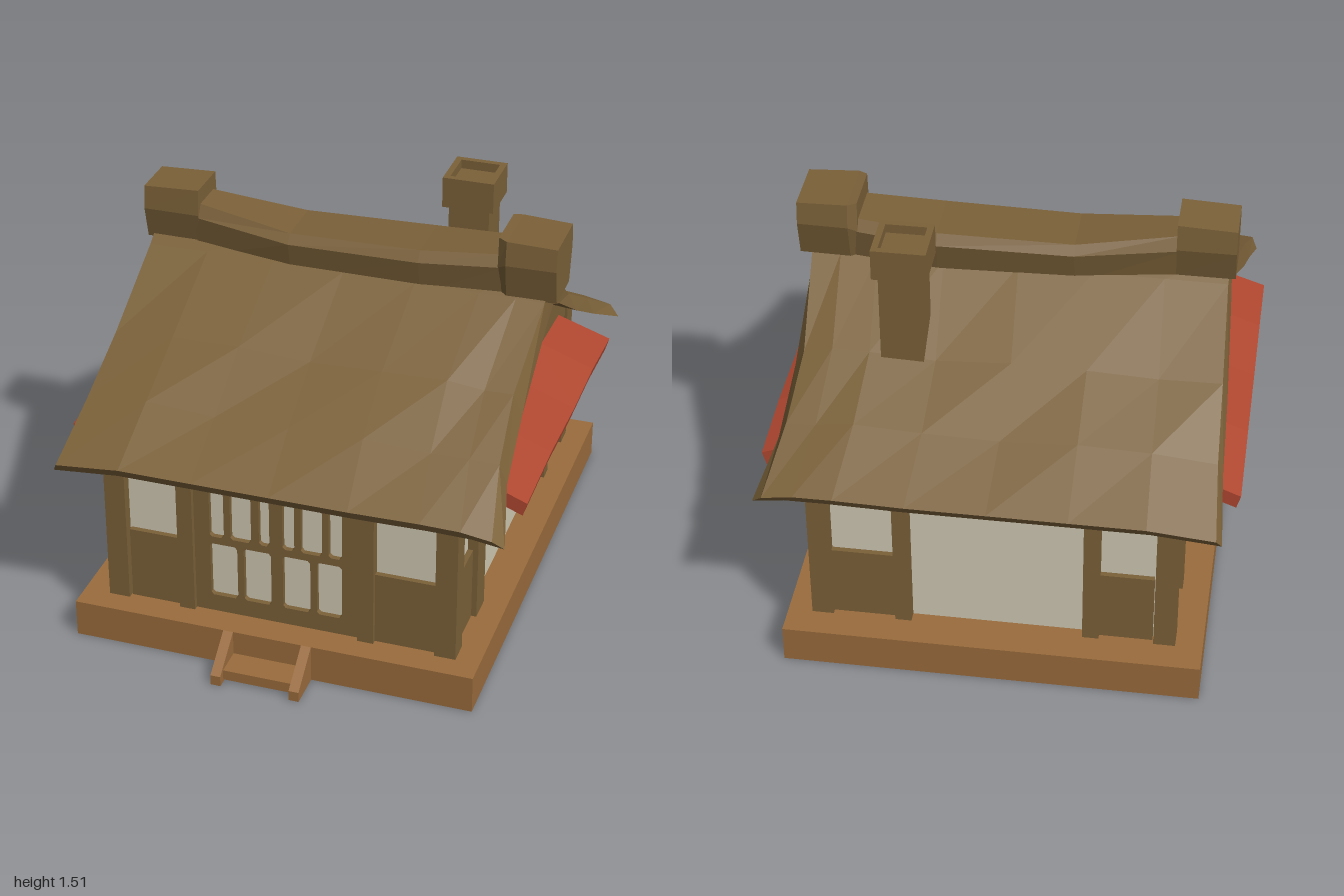
import * as THREE from 'three';

const mat = (name, color) => Object.assign(new THREE.MeshStandardMaterial({ color, flatShading: true }), { name });

export function createModel() {
  const wood = mat('brown wood', 0x7b6139);
  const deck = mat('deck wood', 0x9a6c3c);
  const plaster = mat('cream plaster', 0xd0c9b4);
  const red = mat('red awning', 0xb04730);
  const house = new THREE.Group();
  house.name = 'house';

  const add = (parent, name, geometry, material) => {
    const mesh = new THREE.Mesh(geometry, material);
    mesh.name = name;
    parent.add(mesh);
    return mesh;
  };
  // box given by its limits on each axis
  const box = (parent, name, material, x0, x1, y0, y1, z0, z1) => {
    const g = new THREE.BoxGeometry(x1 - x0, y1 - y0, z1 - z0);
    g.translate((x0 + x1) / 2, (y0 + y1) / 2, (z0 + z1) / 2);
    return add(parent, name, g, material);
  };
  // skin over even-sized rings [x, y, z] that follow each other along +x, with both ends closed
  const loft = (rings) => {
    const pos = [];
    const quad = (a, b, c, d) => [a, b, c, a, c, d].forEach((p) => pos.push(...p));
    const m = rings[0].length;
    for (let s = 0; s < rings.length - 1; s++) {
      for (let i = 0; i < m; i++) {
        const j = (i + 1) % m;
        quad(rings[s][i], rings[s + 1][i], rings[s + 1][j], rings[s][j]);
      }
    }
    const first = rings[0], last = rings[rings.length - 1];
    for (let i = 0; i < m / 2 - 1; i++) {
      quad(first[i], first[i + 1], first[m - 2 - i], first[m - 1 - i]);
      quad(last[m - 1 - i], last[m - 2 - i], last[i + 1], last[i]);
    }
    const g = new THREE.BufferGeometry();
    g.setAttribute('position', new THREE.Float32BufferAttribute(pos, 3));
    g.computeVertexNormals();
    return g;
  };
  const polygon = (pts, Type = THREE.Shape) => new Type(pts.map((p) => new THREE.Vector2(...p)));
  const rect = (x0, x1, y0, y1, c = 0.01) => [
    [x0 + c, y0], [x1 - c, y0], [x1, y0 + c], [x1, y1 - c], [x1 - c, y1], [x0 + c, y1], [x0, y1 - c], [x0, y0 + c]];
  const pierced = (outline, holes, depth) => {
    const shape = polygon(outline);
    shape.holes = holes.map((h) => polygon(h, THREE.Path));
    return new THREE.ExtrudeGeometry(shape, { depth, bevelEnabled: false });
  };

  // base and steps
  box(house, 'base', deck, -0.77, 0.76, 0, 0.145, -1, 0.86);
  const steps = new THREE.Group();
  steps.name = 'steps';
  house.add(steps);
  for (const x of [-0.185, 0.115]) {
    const g = pierced([[-0.86, 0], [-0.86, 0.145], [-1, 0.04], [-1, 0]], [], 0.038);
    g.rotateY(Math.PI / 2);
    g.translate(x, 0, 0);
    add(steps, 'stringer', g, deck);
  }
  box(steps, 'tread', deck, -0.15, 0.12, 0.01, 0.05, 0.85, 0.97);

  // plaster core and corner posts
  box(house, 'wallCore', plaster, -0.63, 0.63, 0.14, 0.78, -0.85, 0.73);
  for (const x of [-0.67, 0.59])
    for (const z of [-0.89, 0.685]) box(house, 'cornerPost', wood, x, x + 0.08, 0.145, 0.79, z, z + 0.085);

  // timber on each wall, facing local +z; e = corner, post and corner edges from left to right
  const wall = (name, turn, d, e) => {
    const g = new THREE.Group();
    g.name = name;
    g.rotation.y = turn;
    house.add(g);
    box(g, 'lintel', wood, e[0], e[5], 0.72, 0.78, d - 0.06, d - 0.018);
    for (const i of [0, 4]) box(g, 'lowerPanel', wood, e[i], e[i + 1], 0.145, 0.435, d - 0.06, d - 0.02);
    for (const i of [1, 3]) box(g, 'post', wood, e[i], e[i + 1], 0.145, 0.79, d - 0.06, d);
    return g;
  };
  const front = wall('frontWall', 0, 0.77, [-0.585, -0.39, -0.33, 0.30, 0.36, 0.59]);
  wall('backWall', Math.PI, 0.89, [-0.59, -0.36, -0.30, 0.33, 0.39, 0.585]);
  const sides = [
    [wall('leftWall', Math.PI / 2, 0.67, [-0.685, -0.49, -0.385, 0.52, 0.58, 0.81]), 0.06],
    [wall('rightWall', -Math.PI / 2, 0.67, [-0.81, -0.58, -0.52, 0.385, 0.49, 0.685]), -0.06],
  ];

  // lattice door
  const lower = [[-0.27, -0.165], [-0.14, -0.035], [0.01, 0.115], [0.14, 0.235]];
  const upper = [[-0.27, -0.215], [-0.19, -0.11], [-0.08, -0.04], [0.01, 0.055], [0.08, 0.16], [0.185, 0.235]];
  const panes = [...lower.map(([a, b]) => rect(a, b, 0.215, 0.44)), ...upper.map(([a, b]) => rect(a, b, 0.47, 0.74))];
  add(front, 'doorLattice', pierced(rect(-0.33, 0.30, 0.145, 0.77, 0), panes, 0.03), wood).position.z = 0.72;
  // solid frame above the door is hidden in the eave, so the lintel stays clear of the panes
  front.children.find((c) => c.name === 'lintel').scale.z = 0.999;

  // gables with open timber, and the awnings below them
  for (const [g, c] of sides) {
    const outline = [[-0.78, 0.74], [0.78, 0.74], [0.78, 0.78], [0, 1.21], [-0.78, 0.78]];
    const half = [[[0.04, 1.11], [0.04, 0.90], [0.08, 0.91], [0.178, 1.035]], [[0.38, 0.88], [0.22, 1.0], [0.12, 0.88]]];
    const holes = half.flatMap((h) => [h, h.map(([x, y]) => [-x, y])]);
    add(g, 'gableTimber', pierced(outline, holes, 0.05), wood).position.set(c, 0, 0.61);
    add(g, 'gablePlaster', new THREE.ShapeGeometry(polygon([[-0.6, 0.8], [0.6, 0.8], [0, 1.15]])), plaster)
      .position.set(c, 0, 0.63);
    const s = Math.sign(c);
    const stations = [[-0.64, -0.01], [-0.3, 0.005], [0.05, -0.006], [0.35, 0.004], [0.63, -0.012]];
    const rings = stations.map(([x, dy], i) => {
      const flare = i === 0 ? -0.01 : i === 4 ? 0.01 : 0;
      const tilt = -0.012 * s * x;
      return [[0.852, 0.69], [0.867, 0.742], [0.64, 0.825], [0.64, 0.765]]
        .map(([z, y], k) => [x + c + (k < 2 ? flare : 0), y + dy + tilt, z]);
    });
    add(g, 'awning', loft(rings), red);
  }

  // sagging thatch: rows run from the ridge down to the eave
  const rowsTop = [[0, 1.30, -0.76, 0.77], [0.1, 1.245, -0.755, 0.77], [0.43, 1.045, -0.77, 0.745],
    [0.69, 0.905, -0.78, 0.765], [0.95, 0.768, -0.80, 0.81]];
  const rowsBottom = [[0, 1.19, -0.76, 0.78], [0.1, 1.15, -0.77, 0.78], [0.43, 0.97, -0.79, 0.78],
    [0.69, 0.84, -0.80, 0.795], [0.925, 0.73, -0.82, 0.85]];
  const slices = [[0, -0.015, 0.995], [0.15, 0.008, 0.995], [0.32, 0.004, 0.99], [0.5, 0, 0.985],
    [0.68, -0.004, 0.98], [0.84, -0.006, 0.97], [0.93, -0.015, 0.96], [1, -0.035, 0.955]];
  const roofRings = slices.map(([t, dy, reach], s) => {
    const place = (side, top) => ([d, y, x0, x1], i) => {
      const wave = top && i > 1 && i < 4 ? 0.009 * Math.sin(s * 2.1 + i * 1.7 + side) : 0;
      return [x0 + (x1 - x0) * t, y + dy * (d / 0.95) + wave, -0.055 + side * d * reach];
    };
    return [
      ...rowsTop.map(place(1, true)).reverse(), ...rowsTop.map(place(-1, true)).slice(1),
      ...rowsBottom.map(place(-1, false)).reverse(), ...rowsBottom.map(place(1, false)).slice(1)];
  });
  add(house, 'roof', loft(roofRings), wood);

  // ridge beam and its end blocks: [x, front z, back z, base y, shoulder y, top y]
  const beam = (name, list, inset) => add(house, name, loft(list.map(([x, f, b, y0, y1, y2]) => [
    [x, y0, f - 0.03], [x, y1, f], [x, y2, f - inset],
    [x, y2, b + inset], [x, y1, b], [x, y0, b + 0.03]])), wood);
  beam('ridgeBeam', [[-0.58, 0.025, -0.155, 1.2, 1.37, 1.42], [-0.2, 0.065, -0.19, 1.2, 1.335, 1.37],
    [0.3, 0.065, -0.2, 1.2, 1.34, 1.38], [0.61, 0.045, -0.175, 1.2, 1.36, 1.402]], 0.025);
  beam('ridgeEndRight', [[-0.78, 0.03, -0.165, 1.255, 1.38, 1.47], [-0.565, 0.03, -0.165, 1.25, 1.38, 1.48]], 0.008);
  beam('ridgeEndLeft', [[0.592, 0.045, -0.175, 1.24, 1.36, 1.475], [0.625, 0.065, -0.19, 1.24, 1.38, 1.472],
    [0.812, 0.06, -0.185, 1.24, 1.38, 1.465]], 0.01);

  // chimney with a hollow cap
  box(house, 'chimneyShaft', wood, 0.302, 0.458, 0.95, 1.475, -0.485, -0.328);
  const cap = pierced(rect(-0.0985, 0.0985, -0.0985, 0.0985, 0), [rect(-0.075, 0.075, -0.075, 0.075, 0)], 0.12);
  cap.rotateX(-Math.PI / 2);
  add(house, 'chimneyCap', cap, wood).position.set(0.379, 1.39, -0.409);

  return house;
}
